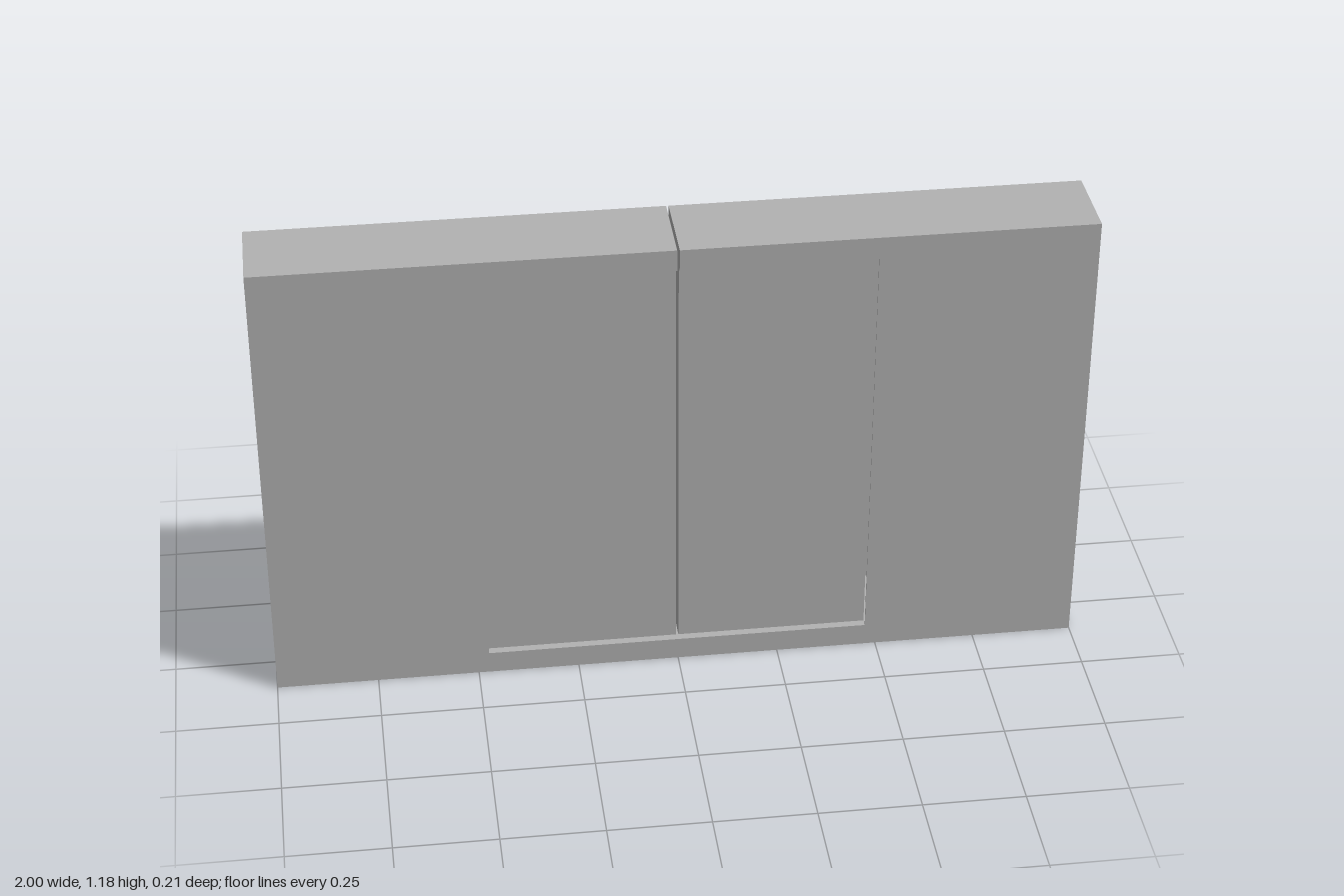
import * as THREE from 'three';

const LENGTH = 2, HEIGHT = 1.176, DEPTH = 0.213;
const SILL = 0.057, HEAD = 1.121;   // bottom and top of the doorway
const OPENING = 0.473;              // half width of the doorway
const SLOT = 0.003;                 // half width of the centre slot
const SKIN = 0.003;                 // wall panel thickness
const RECESS = 0.02;                // door set-back on each face

export function createModel() {
  const model = new THREE.Group();
  model.name = 'slidingDoorWall';
  const grey = new THREE.MeshStandardMaterial({ color: 0xb2b2b2 });
  grey.name = 'grey';

  // Box given by its lower and upper corner
  const block = (name, x0, x1, y0, y1, z0, z1) => {
    const mesh = new THREE.Mesh(new THREE.BoxGeometry(x1 - x0, y1 - y0, z1 - z0), grey);
    mesh.position.set((x0 + x1) / 2, (y0 + y1) / 2, (z0 + z1) / 2);
    mesh.name = name;
    model.add(mesh);
  };
  // Same, mirrored to the left (+x) or right (-x)
  const sided = (name, s, a, b, ...rest) =>
    block((s > 0 ? 'left' : 'right') + name, Math.min(s * a, s * b), Math.max(s * a, s * b), ...rest);

  const half = LENGTH / 2, d = DEPTH / 2;

  // Continuous base under doors and pockets
  block('base', -half, half, 0, SILL, -d, d);

  for (const s of [1, -1]) {
    // Head beam, split by the slot
    sided('HeadBeam', s, SLOT, half, HEAD, HEIGHT, -d, d);
    // Solid wall end
    sided('EndWall', s, half - SILL, half, SILL, HEAD, -d, d);
    // Thin panels enclosing the hollow door pocket
    sided('FrontPanel', s, OPENING, half - SILL, SILL, HEAD, d - SKIN, d);
    sided('BackPanel', s, OPENING, half - SILL, SILL, HEAD, -d, -d + SKIN);
    // Recessed sliding door leaf
    sided('Door', s, SLOT, OPENING, SILL, HEAD, -d + RECESS, d - RECESS);
  }
  return model;
}
